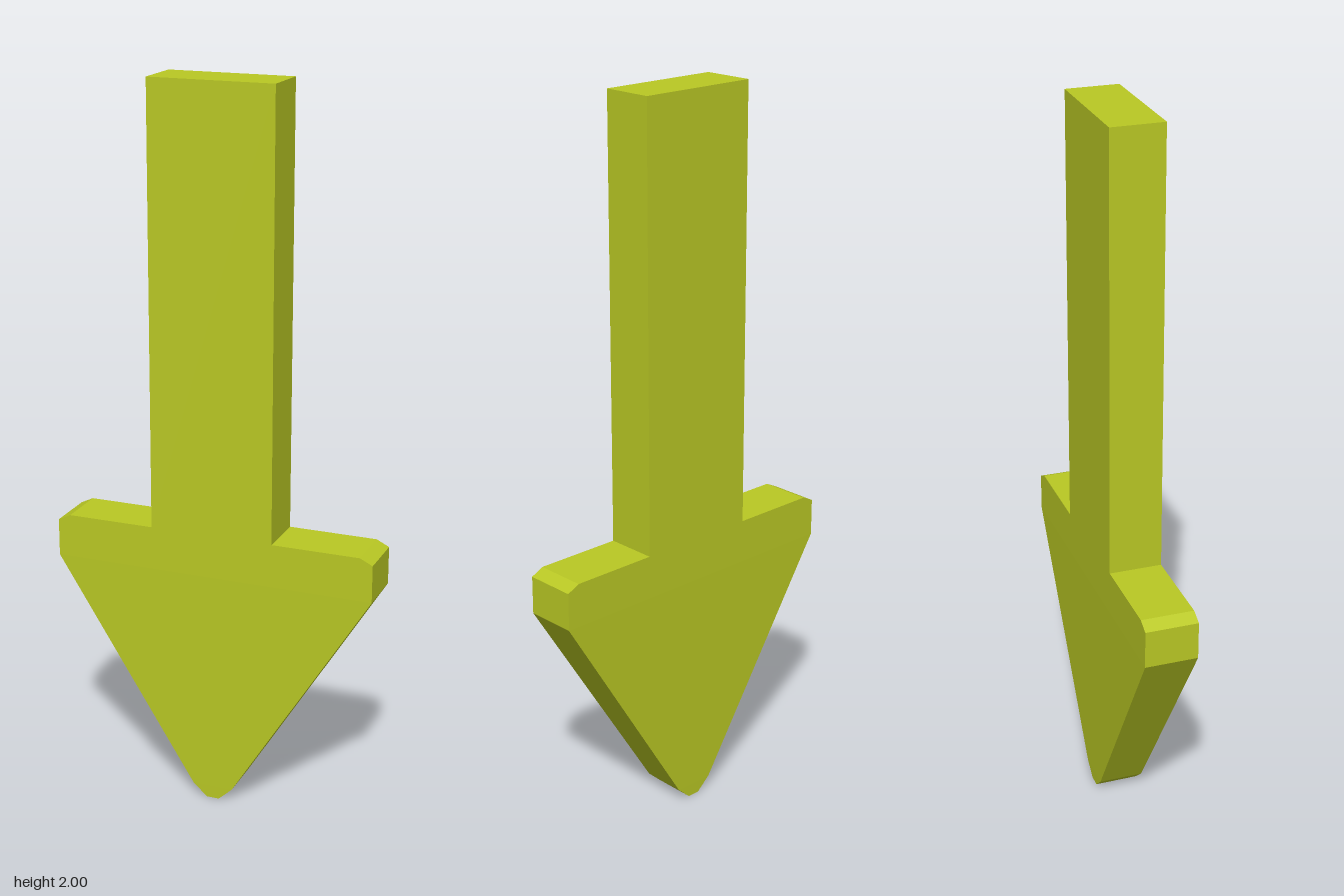
import * as THREE from 'three';

// Lofts rectangular cross-sections [y, halfWidth, halfDepth] from bottom to top
function loft(sections) {
  const positions = [];
  const index = [];
  for (const [y, w, d] of sections) {
    positions.push(w, y, d, w, y, -d, -w, y, -d, -w, y, d);
  }
  for (let i = 0; i < sections.length - 1; i++) {
    const level = sections[i][0] === sections[i + 1][0];
    for (let j = 0; j < 4; j++) {
      if (level && j % 2 === 1) continue; // a level step has no front or back face
      const a = i * 4 + j;
      const b = i * 4 + ((j + 1) % 4);
      index.push(a, b, b + 4, a, b + 4, a + 4);
    }
  }
  const t = (sections.length - 1) * 4;
  index.push(0, 2, 1, 0, 3, 2, t, t + 1, t + 2, t, t + 2, t + 3);

  const indexed = new THREE.BufferGeometry();
  indexed.setAttribute('position', new THREE.Float32BufferAttribute(positions, 3));
  indexed.setIndex(index);
  const geometry = indexed.toNonIndexed();
  geometry.computeVertexNormals();
  return geometry;
}

export function createModel() {
  const group = new THREE.Group();
  group.name = 'downArrow';
  const material = new THREE.MeshStandardMaterial({ color: 0xb9c824, flatShading: true });

  const arrow = new THREE.Mesh(
    loft([
      [0, 0.018, 0.061], // blunt tip
      [0.037, 0.058, 0.062],
      [0.674, 0.453, 0.072], // widest part of the head
      [0.778, 0.453, 0.072],
      [0.795, 0.418, 0.072], // chamfered shoulder
      [0.795, 0.173, 0.072], // foot of the shaft
      [2, 0.173, 0.072],
    ]),
    material
  );
  arrow.name = 'arrow';
  group.add(arrow);
  return group;
}
